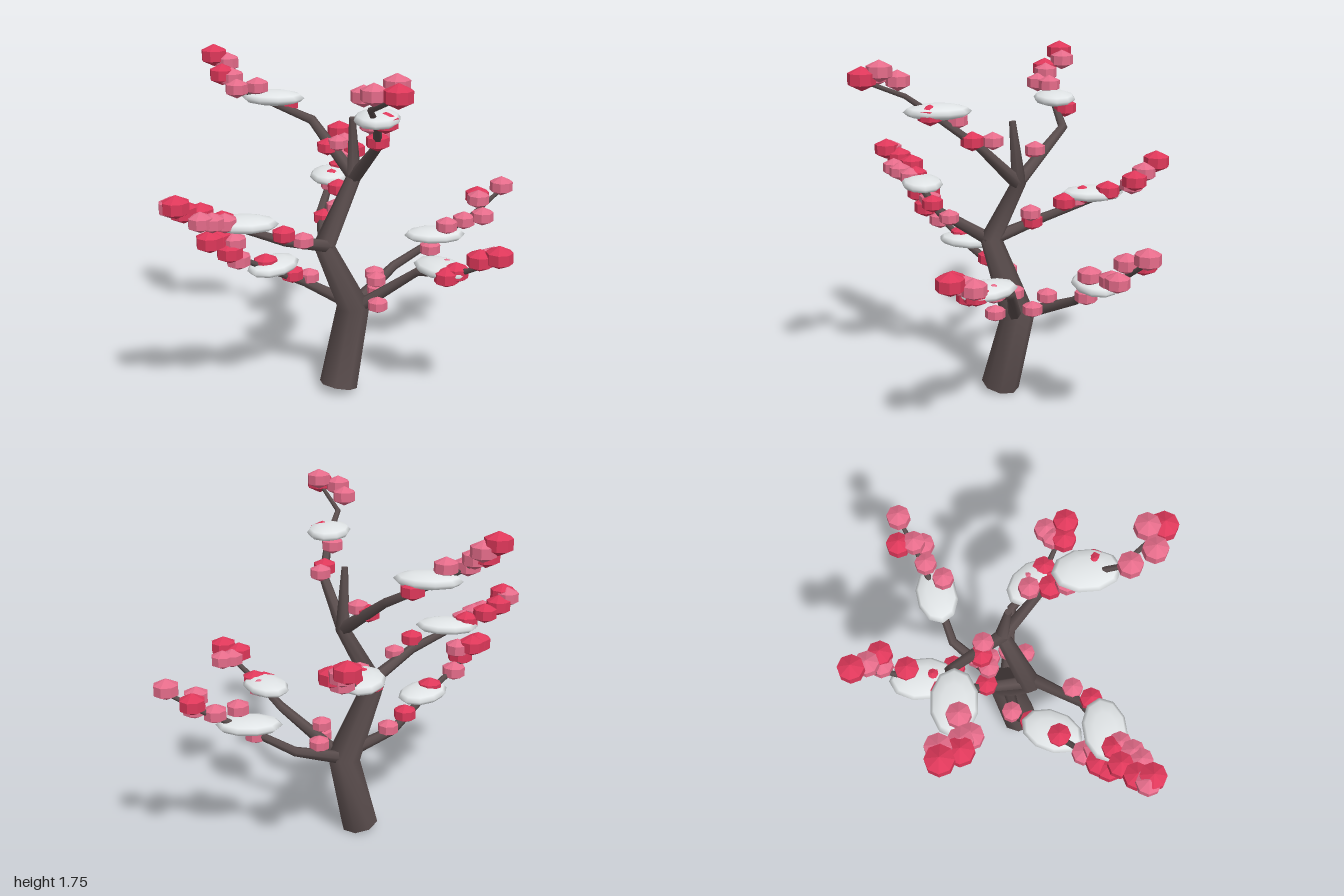
import * as THREE from 'three';

const mat = (name, color) => {
  const m = new THREE.MeshStandardMaterial({ color });
  m.name = name;
  return m;
};
const vec = (x, y, z) => new THREE.Vector3(x, y, z);

// Tapered limb along points with a radius each, closed at both ends
function limbGeometry(points, radii, sides, ref) {
  const pos = [], index = [];
  const last = points.length - 1;
  const ring = i => {
    const t = vec(0, 0, 0);
    if (i > 0) t.add(points[i].clone().sub(points[i - 1]).normalize());
    if (i < last) t.add(points[i + 1].clone().sub(points[i]).normalize());
    t.normalize();
    const u = t.clone().cross(ref).normalize();
    const v = t.clone().cross(u);
    for (let j = 0; j < sides; j++) {
      const a = (j / sides) * Math.PI * 2;
      const c = points[i].clone()
        .addScaledVector(u, Math.cos(a) * radii[i])
        .addScaledVector(v, Math.sin(a) * radii[i]);
      pos.push(c.x, c.y, c.z);
    }
  };
  for (let i = 0; i <= last; i++) ring(i);
  for (let i = 0; i < last; i++) {
    for (let j = 0; j < sides; j++) {
      const a = i * sides + j, b = i * sides + (j + 1) % sides;
      index.push(a, b, a + sides, b, b + sides, a + sides);
    }
  }
  // Caps use their own ring so the rim stays sharp
  for (const end of [0, last]) {
    const s = pos.length / 3;
    ring(end);
    for (let j = 1; j < sides - 1; j++) {
      if (end) index.push(s, s + j, s + j + 1);
      else index.push(s, s + j + 1, s + j);
    }
  }
  const g = new THREE.BufferGeometry();
  g.setAttribute('position', new THREE.Float32BufferAttribute(pos, 3));
  g.setIndex(index);
  g.computeVertexNormals();
  return g;
}

export function createModel() {
  const bark = mat('bark', 0x5a4d4d);
  const snowWhite = mat('snow white', 0xe4e8ea);
  const pink = mat('light pink', 0xe56c8a);
  const red = mat('deep pink', 0xde385a);

  const tree = new THREE.Group();
  tree.name = 'blossomTree';
  const add = (parent, name, geometry, material) => {
    const mesh = new THREE.Mesh(geometry, material);
    mesh.name = name;
    parent.add(mesh);
    return mesh;
  };

  // Zigzag trunk
  const trunk = [vec(-0.065, 0.025, -0.01), vec(0.04, 0.43, -0.03), vec(-0.14, 0.79, -0.02),
    vec(0.045, 1.11, -0.03), vec(0.02, 1.41, -0.01)];
  add(tree, 'trunk', limbGeometry(trunk, [0.097, 0.085, 0.056, 0.036, 0.016], 8, vec(0, 0, 1)), bark);

  // Faceted blossom: eight sides with a pointed top and bottom
  const blossomShape = new THREE.LatheGeometry(
    [[0, -0.88], [1, -0.4], [1, 0.4], [0, 0.88]].map(q => new THREE.Vector2(...q)), 8).toNonIndexed();
  blossomShape.computeVertexNormals();
  // Flattened snow pad, long along x
  const snowShape = new THREE.SphereGeometry(1, 10, 6);
  snowShape.scale(0.16, 0.037, 0.108);

  // Blossoms: distance along the branch in segments, shift across it, lift above it
  function addBlossoms(group, path, places, material, size, growth) {
    for (const [distance, across = 0, lift = 0.02] of places) {
      const k = Math.min(Math.floor(distance), path.length - 2);
      const along = path[k + 1].clone().sub(path[k]);
      const blossom = add(group, 'blossom', blossomShape, material);
      blossom.position.copy(path[k]).addScaledVector(along, distance - k)
        .addScaledVector(vec(-along.z, 0, along.x).normalize(), across);
      blossom.position.y += lift;
      blossom.scale.setScalar(size + growth * distance);
    }
  }

  // Branch with a snow pad resting on its middle point
  function addBranch(name, path, snowTurn, pinkPlaces, redPlaces) {
    const group = new THREE.Group();
    group.name = name;
    tree.add(group);
    add(group, 'wood', limbGeometry(path, [0.034, 0.024, 0.018, 0.014, 0.01], 6, vec(0, 1, 0)), bark);
    const pad = add(group, 'snowPad', snowShape, snowWhite);
    pad.position.copy(path[2]);
    pad.position.y += 0.03;
    pad.rotation.y = snowTurn;
    addBlossoms(group, path, pinkPlaces, pink, 0.048, 0.003);
    addBlossoms(group, path, redPlaces, red, 0.05, 0.0035);
  }

  // Lower tier
  addBranch('lowerLeftBranch',
    [vec(0.05, 0.43, -0.04), vec(0.35, 0.56, -0.1), vec(0.55, 0.685, -0.02), vec(0.75, 0.8, 0.04), vec(0.92, 0.92, 0.07)],
    -0.53,
    [[0.5, 0, 0.06], [0.35, 0.06], [1.85, 0.03, -0.015], [2.2, 0.06, 0.07], [2.75, 0.015, 0.01],
      [3.2, 0.05, -0.02], [3.2, 0, 0.06], [4]],
    [[3.4, -0.07, 0.03]]);
  addBranch('lowerFrontBranch',
    [vec(0.05, 0.43, 0), vec(0.25, 0.65, 0.23), vec(0.26, 0.685, 0.39), vec(0.29, 0.74, 0.55), vec(0.34, 0.81, 0.68)],
    -1.57,
    [[0.3, 0, 0.09], [0.4, 0.09, -0.03], [2.05, -0.035], [3.7, -0.08], [3.55, -0.03, 0.03]],
    [[2.5, 0.05, -0.01], [2.6, 0, 0], [3.6, 0.03, 0.04], [4.2]]);
  addBranch('lowerRightBranch',
    [vec(0.03, 0.44, -0.02), vec(-0.18, 0.57, -0.14), vec(-0.385, 0.685, -0.095), vec(-0.55, 0.78, -0.08), vec(-0.72, 0.9, -0.07)],
    0.44,
    [[0.9, 0.02, 0.035], [3.2, 0, -0.015], [3.45, -0.03, 0.06]],
    [[1.4], [2.27, 0, 0.025], [3.6, -0.035, 0], [3.8, 0.015, 0.035], [4.1, 0, 0]]);
  // Middle tier
  addBranch('middleRightBranch',
    [vec(-0.13, 0.79, 0), vec(-0.42, 0.89, 0.07), vec(-0.605, 0.97, 0.025), vec(-0.8, 1.05, 0), vec(-0.935, 1.11, -0.04)],
    -0.61,
    [[0.72, -0.04], [2.5, -0.01, 0.01], [2.85, -0.03, 0], [3.15, -0.035, -0.01], [4, 0, 0.01]],
    [[1.07, -0.035, 0.04], [2.5, 0.025, 0.01], [3, 0.06, 0.01], [3.6, 0.025, 0], [3.9, -0.03, 0.025]]);
  addBranch('middleBackBranch',
    [vec(-0.13, 0.79, -0.03), vec(0, 0.88, -0.26), vec(0.17, 0.975, -0.43), vec(0.29, 1.04, -0.53), vec(0.38, 1.14, -0.66)],
    0.9,
    [[0.65, 0.07, 0.08], [1.65, 0.02, 0.04], [3.2, 0.035, 0], [3.6, 0.03]],
    [[0.75, 0.01, 0.01], [1.4, 0.07, 0.06], [1.8, 0.015, 0.045], [2.5, 0.03], [3.2, 0.08, 0.03], [4.05]]);
  // Upper tier
  addBranch('upperBackBranch',
    [vec(0.04, 1.11, -0.03), vec(0.02, 1.33, -0.37), vec(-0.14, 1.415, -0.48), vec(-0.28, 1.49, -0.55), vec(-0.33, 1.61, -0.71)],
    -0.74,
    [[0.37, 0, 0.06], [2.5, 0, 0.05], [3, -0.035, 0.01], [3.3, -0.015], [3.8, 0.04]],
    [[0.5, -0.03, 0.01], [1.65, 0.04], [3.55, -0.04, 0.005], [4.1]]);
  addBranch('upperFrontBranch',
    [vec(0.04, 1.11, -0.02), vec(0.02, 1.31, 0.2), vec(-0.1, 1.46, 0.36), vec(-0.21, 1.56, 0.46), vec(-0.23, 1.65, 0.68)],
    0.9,
    [[0.8, -0.035, 0.075], [1.55, 0.03, 0.05], [3.05, 0.04, 0.065], [3.6, 0.06, 0.045], [3.73, -0.035, 0.07]],
    [[1.2, 0, 0.005], [2.2, -0.045, 0], [4.05, 0, 0.01]]);
  return tree;
}
